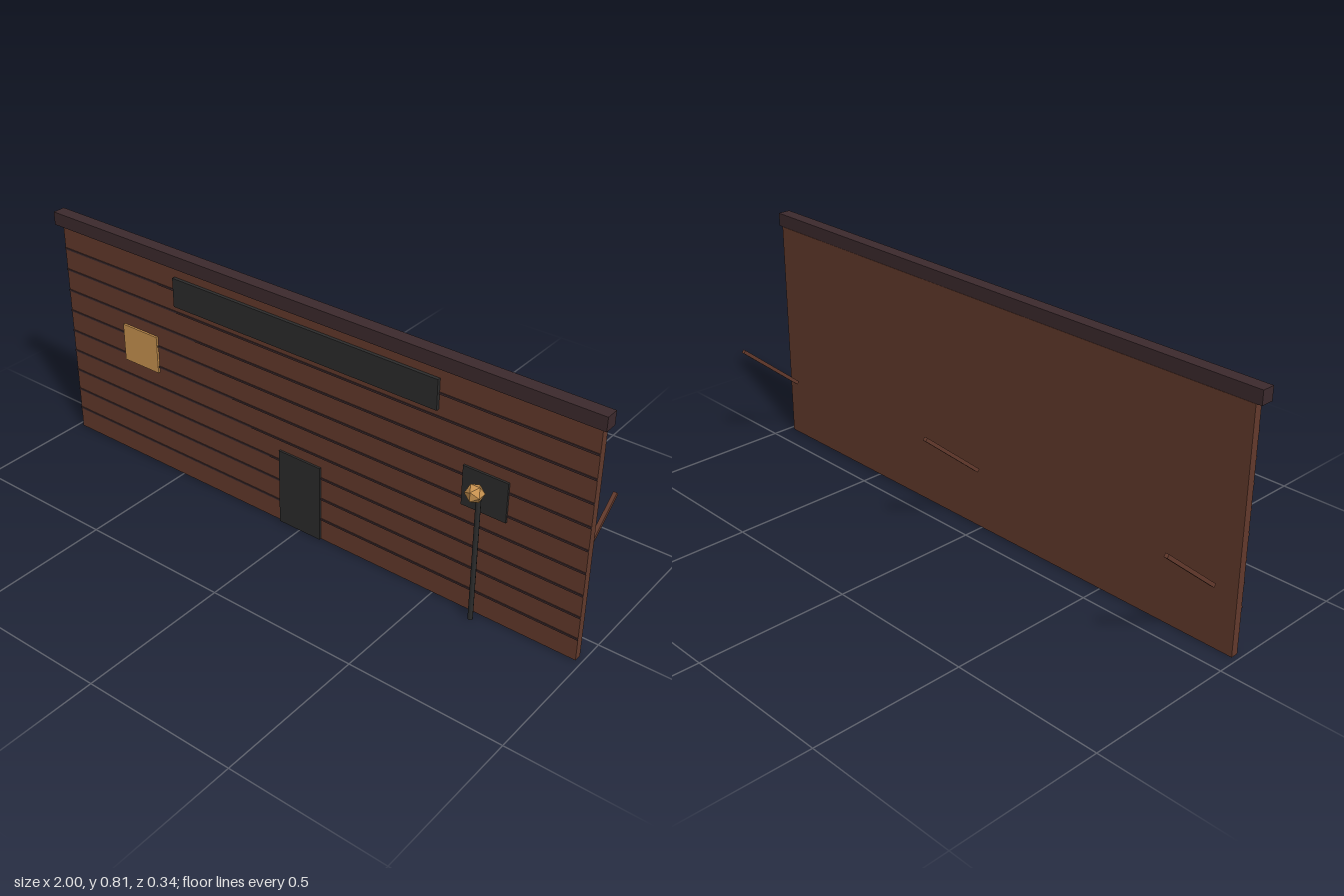
import * as THREE from 'three';

const material = (name, color) => {
  const m = new THREE.MeshStandardMaterial({ color });
  m.name = name;
  return m;
};

export function createModel() {
  const model = new THREE.Group();
  model.name = 'facade';
  const wood = material('brown wood', 0x633a2c);
  const trim = material('dark trim', 0x3c2a2d);
  const dark = material('charcoal', 0x2c2c2c);
  const amber = material('amber glow', 0xc99350);

  const add = (name, geometry, mat, x, y, z) => {
    const mesh = new THREE.Mesh(geometry, mat);
    mesh.name = name;
    mesh.position.set(x, y, z);
    model.add(mesh);
    return mesh;
  };
  // box given by its limits on each axis
  const box = (name, mat, x0, x1, y0, y1, z0, z1) =>
    add(name, new THREE.BoxGeometry(x1 - x0, y1 - y0, z1 - z0), mat,
      (x0 + x1) / 2, (y0 + y1) / 2, (z0 + z1) / 2);

  // wall and its top beam
  box('wall', wood, -0.982, 0.982, 0, 0.766, 0.072, 0.097);
  box('topBeam', trim, -1, 1, 0.766, 0.81, 0.073, 0.116);

  // seams between the boards
  for (let i = 1; i <= 9; i++) {
    const y = i * 0.0757;
    box('boardSeam', trim, -0.982, 0.982, y - 0.003, y + 0.003, 0.096, 0.1);
  }

  // sign board, door and windows
  box('signBoard', dark, -0.491, 0.491, 0.63, 0.728, 0.098, 0.109);
  box('door', dark, -0.08, 0.08, 0, 0.265, 0.096, 0.104);
  box('litWindow', amber, -0.73, -0.583, 0.358, 0.488, 0.096, 0.104);
  box('darkWindow', dark, 0.583, 0.73, 0.358, 0.488, 0.096, 0.104);

  // lamp post
  add('lampPost', new THREE.CylinderGeometry(0.008, 0.008, 0.44, 8), dark, 0.654, 0.22, 0.128);
  add('lamp', new THREE.IcosahedronGeometry(0.029, 0), amber, 0.654, 0.45, 0.15);

  // sloping braces behind the wall
  for (const x of [-0.917, 0, 0.917]) {
    const brace = add('brace', new THREE.BoxGeometry(0.012, 0.012, 0.281), wood, x, 0.304, -0.058);
    brace.rotation.x = 0.7;
  }
  return model;
}
